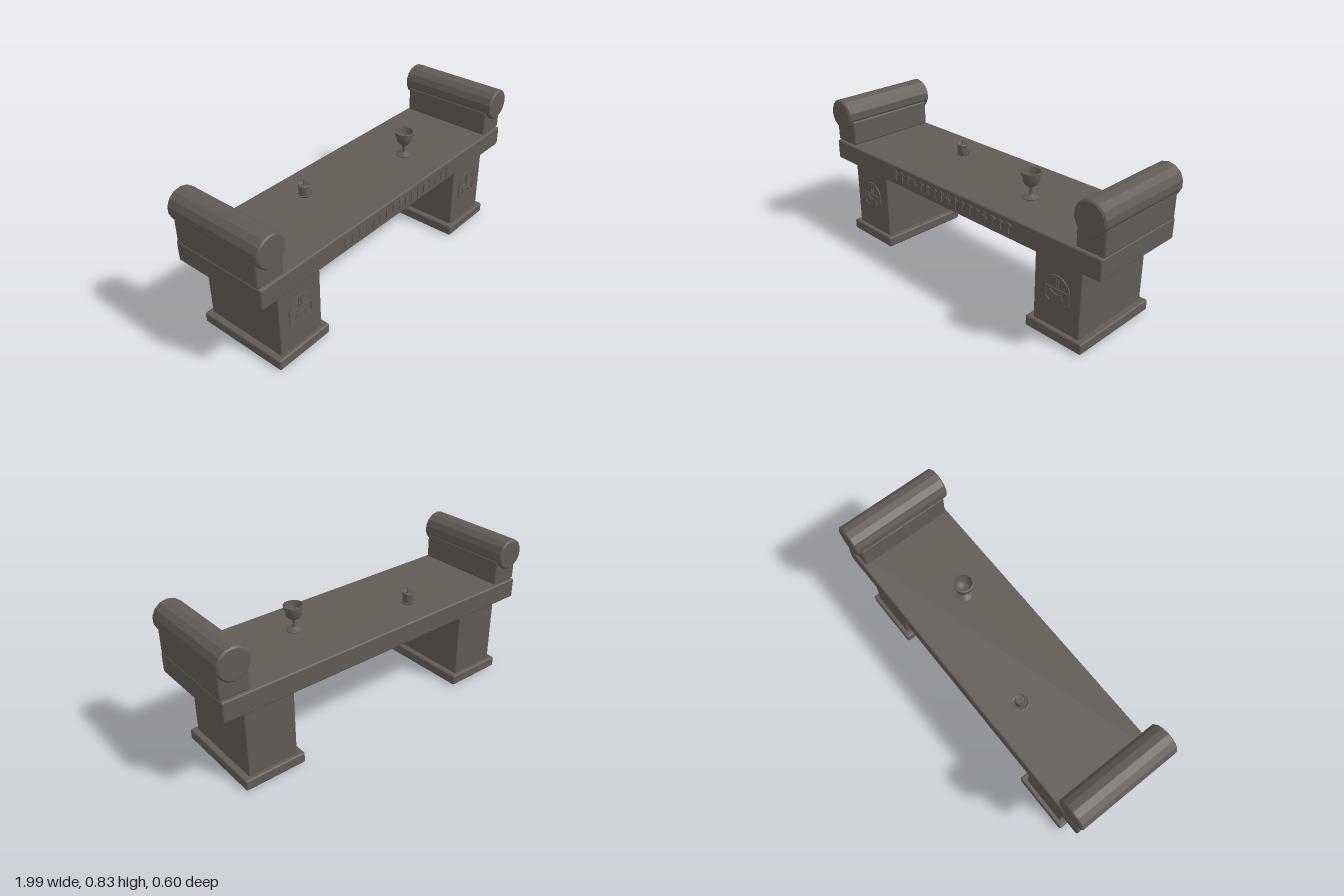
import * as THREE from 'three';
import { toCreasedNormals } from 'three/addons/utils/BufferGeometryUtils.js';
import { RoundedBoxGeometry } from 'three/addons/geometries/RoundedBoxGeometry.js';

const stone = new THREE.MeshStandardMaterial({ color: 0x605b55 });
stone.name = 'stone';

function add(parent, name, geometry, x = 0, y = 0, z = 0) {
  const mesh = new THREE.Mesh(geometry, stone);
  mesh.name = name;
  mesh.position.set(x, y, z);
  parent.add(mesh);
  return mesh;
}

// Block with softened edges, given by its bottom and top heights
function block(parent, name, x, width, bottom, top, depth, radius) {
  return add(parent, name, new RoundedBoxGeometry(width, top - bottom, depth, 2, radius), x, (bottom + top) / 2, 0);
}

function turned(points, sides, crease) {
  const profile = points.map(([r, y]) => new THREE.Vector2(r, y));
  return toCreasedNormals(new THREE.LatheGeometry(profile, sides), crease);
}

// Flat raised bar between two points on a front face
function bar(parent, name, x1, y1, x2, y2, z, width = 0.008) {
  const length = Math.hypot(x2 - x1, y2 - y1);
  const mesh = add(parent, name, new THREE.BoxGeometry(length, width, 0.008), (x1 + x2) / 2, (y1 + y2) / 2, z);
  mesh.rotation.z = Math.atan2(y2 - y1, x2 - x1);
}

// Flat raised arc band
function arc(parent, name, radius, width, start, end, y, z) {
  const shape = new THREE.Shape();
  shape.absarc(0, 0, radius, start, end, false);
  shape.absarc(0, 0, radius - width, end, start, true);
  shape.closePath();
  add(parent, name, new THREE.ExtrudeGeometry(shape, { depth: 0.008, bevelEnabled: false, curveSegments: 16 }), 0, y, z - 0.004);
}

// Arched relief ornament for the front of a pedestal
function archOrnament() {
  const g = new THREE.Group();
  g.name = 'archOrnament';
  const z = 0.251;
  arc(g, 'outerArch', 0.08, 0.011, 0, Math.PI, 0.278, z);
  bar(g, 'crossBand', -0.08, 0.278, 0.08, 0.278, z, 0.011);
  bar(g, 'centreRib', -0.008, 0.287, -0.008, 0.352, z);
  bar(g, 'centreRib', 0.008, 0.287, 0.008, 0.352, z);
  arc(g, 'lowerBow', 0.066, 0.008, Math.PI * 1.2, Math.PI * 1.8, 0.312, z);
  for (const s of [-1, 1]) {
    bar(g, 'sideDrop', s * 0.075, 0.278, s * 0.073, 0.215, z, 0.01);
    bar(g, 'sideFoot', s * 0.075, 0.218, s * 0.045, 0.205, z, 0.01);
    bar(g, 'innerDrop', s * 0.028, 0.25, s * 0.034, 0.222, z, 0.008);
  }
  return g;
}

export function createModel() {
  const model = new THREE.Group();
  model.name = 'stoneBench';

  block(model, 'seatSlab', 0, 1.97, 0.452, 0.567, 0.572, 0.01);

  // Mirrored pedestals and scrolled arms
  const roll = turned([[0, -0.298], [0.08, -0.298], [0.088, -0.291], [0.088, 0.291], [0.08, 0.298], [0, 0.298]], 14, 0.3);
  for (const s of [-1, 1]) {
    const end = new THREE.Group();
    end.name = s < 0 ? 'rightEnd' : 'leftEnd';
    model.add(end);
    block(end, 'pedestalBase', s * 0.718, 0.352, 0, 0.06, 0.546, 0.01);
    block(end, 'pedestal', s * 0.718, 0.284, 0.045, 0.46, 0.5, 0.006);
    block(end, 'armBlock', s * 0.908, 0.162, 0.567, 0.714, 0.546, 0.012);
    add(end, 'armRoll', roll, s * 0.911, 0.744, 0).rotation.x = Math.PI / 2;
    const ornament = archOrnament();
    ornament.position.x = s * 0.718;
    end.add(ornament);
  }

  // Abstract notched frieze along the slab front
  const frieze = new THREE.Group();
  frieze.name = 'notchedFrieze';
  model.add(frieze);
  for (let i = 0; i < 17; i++) {
    const x = -0.43 + i * 0.0538, z = 0.287;
    bar(frieze, 'friezeUpright', x, 0.482, x, 0.54, z, 0.009);
    if (i % 5 === 3) bar(frieze, 'friezeTick', x - 0.016, 0.52, x + 0.016, 0.505, z);
    else bar(frieze, 'friezeTick', x, 0.537, x + 0.02, 0.527, z);
  }

  // Candle on a small dish
  const candle = new THREE.Group();
  candle.name = 'candle';
  candle.position.set(-0.305, 0.567, -0.1);
  model.add(candle);
  add(candle, 'candleDish', turned([[0, -0.002], [0.036, -0.002], [0.046, 0.01], [0.042, 0.011], [0.034, 0.005], [0, 0.005]], 20, 0.6));
  add(candle, 'candleBody', turned([[0, 0], [0.029, 0], [0.029, 0.056], [0.026, 0.06], [0.02, 0.055], [0, 0.055]], 20, 0.6));
  add(candle, 'candleWick', new THREE.CylinderGeometry(0.003, 0.004, 0.034, 6), 0, 0.071, 0);

  // Open goblet
  add(model, 'goblet', turned([
    [0, -0.002], [0.043, -0.002], [0.043, 0.004], [0.026, 0.011], [0.011, 0.02], [0.008, 0.04],
    [0.012, 0.057], [0.012, 0.063], [0.03, 0.072], [0.042, 0.088], [0.045, 0.12], [0.053, 0.125],
    [0.054, 0.143], [0.048, 0.145], [0.044, 0.125], [0.038, 0.095], [0.024, 0.08], [0, 0.076],
  ], 24, 0.7), 0.355, 0.567, 0.045);

  return model;
}
